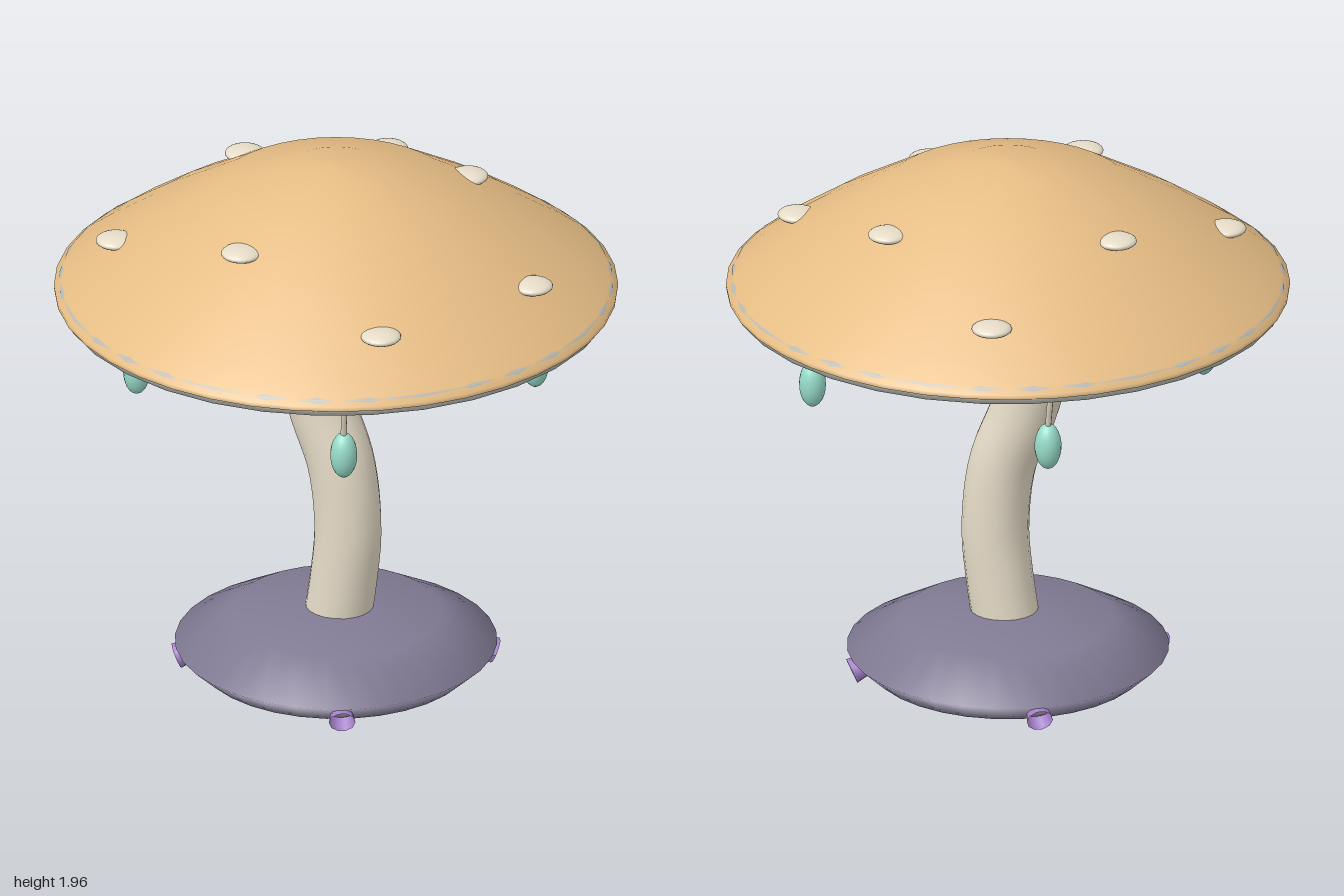
import * as THREE from 'three';

const V = (x, y, z = 0) => new THREE.Vector3(x, y, z);

function material(name, color, side = THREE.FrontSide) {
  const m = new THREE.MeshStandardMaterial({ color, side });
  m.name = name;
  return m;
}

function lathe(points, segments) {
  return new THREE.LatheGeometry(points.map(([x, y]) => new THREE.Vector2(x, y)), segments);
}

// Tube whose radius follows taper(t) along the curve
function taperedTube(curve, segments, radius, sides, taper) {
  const geo = new THREE.TubeGeometry(curve, segments, radius, sides);
  const pos = geo.attributes.position;
  const p = new THREE.Vector3();
  for (let i = 0; i <= segments; i++) {
    const centre = curve.getPointAt(i / segments);
    for (let j = 0; j <= sides; j++) {
      const k = i * (sides + 1) + j;
      p.fromBufferAttribute(pos, k).sub(centre).multiplyScalar(taper(i / segments)).add(centre);
      pos.setXYZ(k, p.x, p.y, p.z);
    }
  }
  geo.computeVertexNormals();
  return geo;
}

export function createModel() {
  const model = new THREE.Group();
  model.name = 'mushroomTree';

  const tan = material('capTan', 0xe5bc84);
  const cream = material('cream', 0xe6dcc8);
  const grey = material('rimGrey', 0xb9bab4);
  const slate = material('basePurpleGrey', 0x807a93);
  const violet = material('gillViolet', 0x8266ac);
  const lilac = material('rootLilac', 0xa47fc8, THREE.DoubleSide);
  const teal = material('podTeal', 0x97dcc9);

  const add = (name, geo, mat, parent = model) => {
    const mesh = new THREE.Mesh(geo, mat);
    mesh.name = name;
    parent.add(mesh);
    return mesh;
  };

  // Base mound
  add('base', lathe([[0, 0.028], [0.49, 0.022], [0.572, 0.098], [0.375, 0.21], [0.12, 0.24], [0, 0.243]], 32), slate);

  // Curved stem
  const stemCurve = new THREE.CatmullRomCurve3([
    V(0, 0.15), V(0.03, 0.35), V(0.047, 0.55), V(0.02, 0.8), V(-0.06, 1.02),
    V(-0.115, 1.25), V(-0.1, 1.45), V(-0.04, 1.65),
  ]);
  add('stem', new THREE.TubeGeometry(stemCurve, 32, 0.12, 20), cream);

  // Cap top with a thin rolled edge, and its shallow conical underside
  add('capTop', lathe([
    [0.998, 1.478], [1, 1.495], [0.97, 1.518], [0.9, 1.572], [0.72, 1.695],
    [0.43, 1.867], [0.17, 1.955], [0.02, 1.967], [0, 1.967],
  ], 40), tan);
  add('capUnderside', lathe([
    [0, 1.645], [0.1, 1.622], [0.45, 1.545], [0.8, 1.468], [0.91, 1.446], [0.998, 1.478],
  ], 40), tan);

  // Ring running through the cap edge
  const rim = add('capRim', new THREE.TorusGeometry(0.954, 0.04, 8, 32), grey);
  rim.rotation.x = Math.PI / 2;
  rim.position.y = 1.483;

  // Flat spots half sunk into the cap: x, y, z
  const spots = [
    [-0.122, 1.813, 0.507], [0.317, 1.813, -0.412], [-0.473, 1.813, -0.225],
    [0.78, 1.66, 0], [-0.707, 1.66, 0.33], [0.482, 1.66, 0.608], [-0.177, 1.66, -0.765],
  ];
  for (const [x, y, z] of spots) {
    const spot = add('capSpot', new THREE.SphereGeometry(0.072, 20, 12), cream);
    spot.scale.y = 0.32;
    spot.position.set(x, y, z);
  }

  // Radial gills along the underside
  const gillCurve = new THREE.LineCurve3(V(0.1, 1.608), V(0.82, 1.45));
  const gillGeo = taperedTube(gillCurve, 12, 0.018, 8, t => Math.min(1, 0.6 + t, (1 - t) * 5 + 0.2));
  for (let i = 0; i < 12; i++) {
    add('gill', gillGeo, violet).rotation.y = i * Math.PI / 6;
  }

  // Four hanging pods and four root stubs, a quarter turn apart
  const threadCurve = new THREE.CatmullRomCurve3([
    V(0.75, 1.5), V(0.75, 1.43), V(0.745, 1.36), V(0.722, 1.285), V(0.707, 1.235),
  ]);
  const threadGeo = new THREE.TubeGeometry(threadCurve, 14, 0.011, 8);
  const rootCurve = new THREE.CatmullRomCurve3([V(0.46, 0.085), V(0.515, 0.065), V(0.565, 0.044)]);
  const rootGeo = taperedTube(rootCurve, 6, 0.047, 10, t => 0.6 + 0.4 * t);
  for (let i = 0; i < 4; i++) {
    const quarter = new THREE.Group();
    quarter.name = 'podAndRoot';
    quarter.rotation.y = -(61.2 * Math.PI / 180 + i * Math.PI / 2);
    add('thread', threadGeo, cream, quarter);
    const pod = add('pod', new THREE.SphereGeometry(0.048, 18, 14), teal, quarter);
    pod.scale.y = 1.8;
    pod.position.set(0.707, 1.168, 0);
    add('root', rootGeo, lilac, quarter);
    model.add(quarter);
  }

  return model;
}
